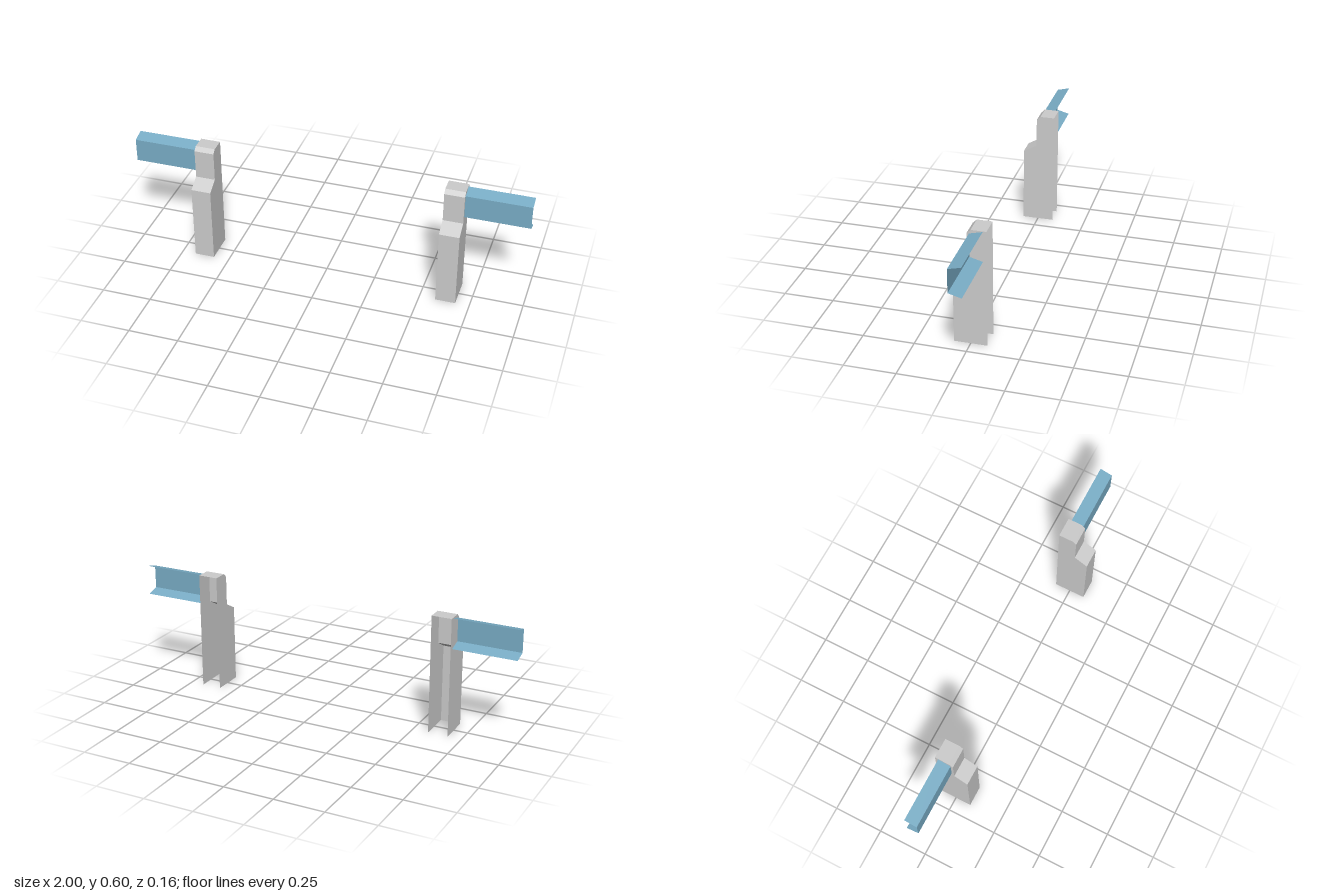
import * as THREE from 'three';

const postPaint = new THREE.MeshStandardMaterial({ color: 0xcccccc, side: THREE.DoubleSide });
postPaint.name = 'light grey post';
const railPaint = new THREE.MeshStandardMaterial({ color: 0x79adc6, side: THREE.DoubleSide });
railPaint.name = 'blue rail';

// Profiles as [z, y]; both are open at the back
const postProfile = [[0.08, 0], [0.08, 0.39], [0.012, 0.428], [0.012, 0.576], [-0.007, 0.595], [-0.08, 0.595]];
const railProfile = [[-0.063, 0.441], [0, 0.458], [0, 0.576], [-0.063, 0.592]];

const POST_INNER = 0.58, POST_OUTER = 0.68, RAIL_END = 1;

// Folded sheet: a profile swept along x with crisp folds
function foldedSheet(profile, x0, x1) {
  const pos = [];
  for (let i = 0; i < profile.length - 1; i++) {
    const [z0, y0] = profile[i], [z1, y1] = profile[i + 1];
    const a = [x0, y0, z0], b = [x1, y0, z0], c = [x1, y1, z1], d = [x0, y1, z1];
    pos.push(...a, ...b, ...c, ...a, ...c, ...d);
  }
  const geo = new THREE.BufferGeometry();
  geo.setAttribute('position', new THREE.Float32BufferAttribute(pos, 3));
  geo.computeVertexNormals();
  return geo;
}

// Flat side wall, facing +x or -x
function sideWall(x, facing) {
  const pts = [...postProfile, [-0.08, 0]].map(([z, y]) => new THREE.Vector2(-facing * z, y));
  const geo = new THREE.ShapeGeometry(new THREE.Shape(pts));
  geo.rotateY(facing * Math.PI / 2);
  geo.translate(x, 0, 0);
  return geo;
}

function addMesh(parent, name, geo, material) {
  const mesh = new THREE.Mesh(geo, material);
  mesh.name = name;
  parent.add(mesh);
}

export function createModel() {
  const model = new THREE.Group();
  model.name = 'railEndPosts';
  for (const [name, s] of [['left', 1], ['right', -1]]) {
    const half = new THREE.Group();
    half.name = name + 'Side';
    const xs = [s * POST_INNER, s * POST_OUTER].sort((a, b) => a - b);
    const rs = [s * POST_OUTER, s * RAIL_END].sort((a, b) => a - b);

    // Hollow post: stepped front and top, two side walls
    addMesh(half, name + 'PostFront', foldedSheet(postProfile, ...xs), postPaint);
    addMesh(half, name + 'PostWallA', sideWall(xs[0], -1), postPaint);
    addMesh(half, name + 'PostWallB', sideWall(xs[1], 1), postPaint);

    // Channel rail with flared flanges
    addMesh(half, name + 'Rail', foldedSheet(railProfile, ...rs), railPaint);
    model.add(half);
  }
  return model;
}
